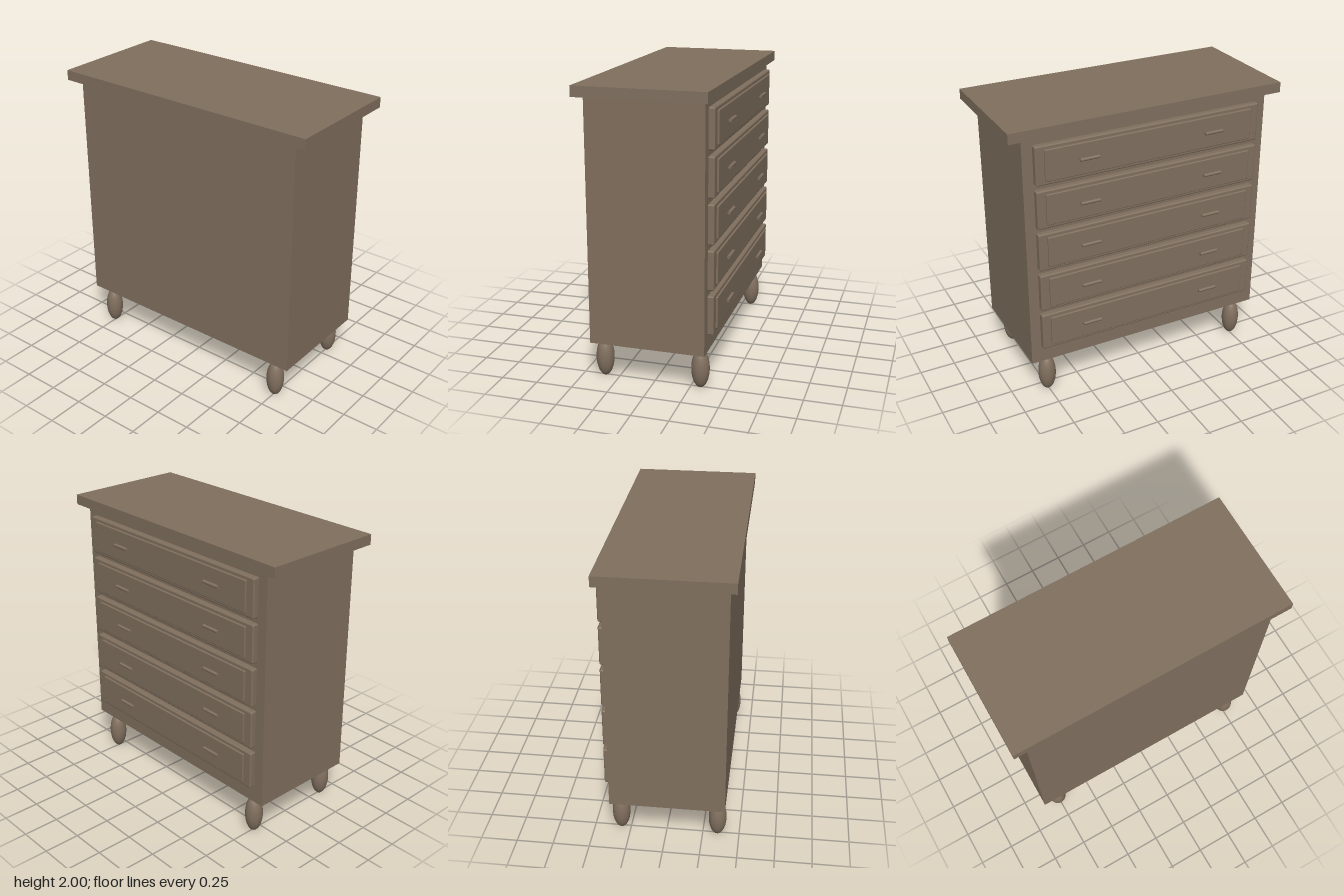
import * as THREE from 'three';
import { RoundedBoxGeometry } from 'three/addons/geometries/RoundedBoxGeometry.js';

export function createModel() {
  const model = new THREE.Group();
  model.name = 'chestOfDrawers';
  const wood = new THREE.MeshStandardMaterial({ color: 0x806f5e });
  wood.name = 'brown wood';

  const add = (parent, name, geometry, x, y, z) => {
    const mesh = new THREE.Mesh(geometry, wood);
    mesh.name = name;
    mesh.position.set(x, y, z);
    parent.add(mesh);
    return mesh;
  };

  // Carcass and overhanging top
  add(model, 'body', new THREE.BoxGeometry(1.764, 1.65, 0.78), 0, 1.105, 0.016);
  add(model, 'top', new THREE.BoxGeometry(1.955, 0.07, 0.866), 0, 1.965, 0.018);

  // Egg-shaped feet
  const footGeometry = new THREE.SphereGeometry(1, 32, 20).scale(0.061, 0.137, 0.061);
  for (const x of [-0.754, 0.754]) {
    for (const z of [0.35, -0.315]) add(model, 'foot', footGeometry, x, 0.137, z);
  }

  // Drawers on the -z side: soft-edged front, raised panel and two bar handles
  const frontGeometry = new RoundedBoxGeometry(1.62, 0.266, 0.06, 3, 0.01);
  const panelGeometry = new RoundedBoxGeometry(1.5, 0.216, 0.03, 3, 0.006);
  const handleGeometry = new THREE.CylinderGeometry(0.011, 0.011, 0.134, 20).rotateZ(Math.PI / 2);
  for (let i = 0; i < 5; i++) {
    const drawer = new THREE.Group();
    drawer.name = 'drawer' + (i + 1);
    drawer.position.y = 1.748 - i * 0.3035;
    add(drawer, 'drawerFront', frontGeometry, 0, 0, -0.384);
    add(drawer, 'drawerPanel', panelGeometry, 0, 0, -0.411);
    for (const x of [-0.453, 0.453]) add(drawer, 'handle', handleGeometry, x, 0, -0.437);
    model.add(drawer);
  }
  return model;
}
